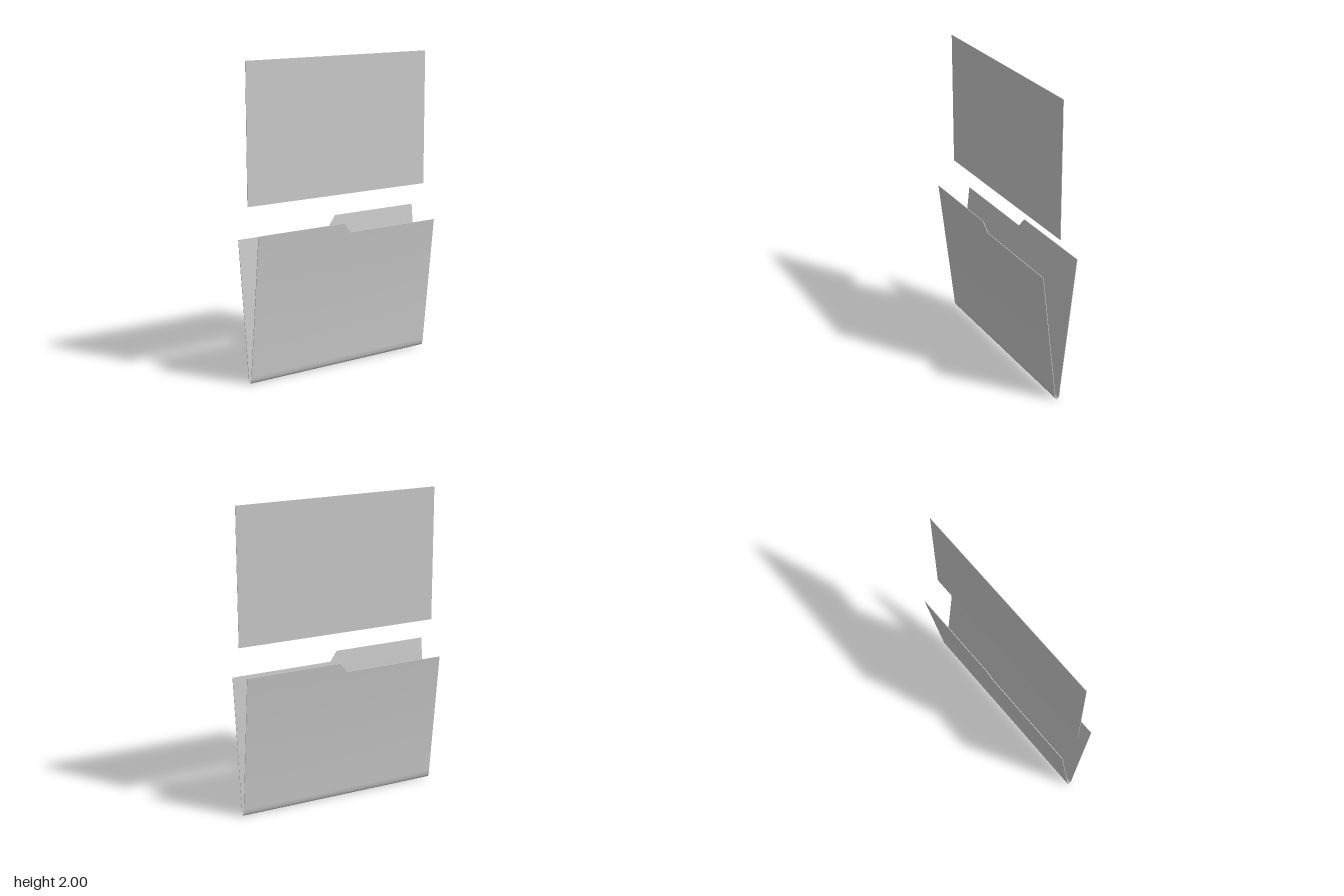
import * as THREE from 'three';
import { toCreasedNormals } from 'three/addons/utils/BufferGeometryUtils.js';

const HALF = 0.685;   // half the length along z
const T = 0.004;      // card thickness
const FOLD_Y = 0.06;  // where the rounded fold meets the flat sides
const FOLD_X = 0.02;
const LOW = 0.895;    // top edge beside the tab
const HIGH = 0.96;    // top edge of the tab

// Outer x of a leaning side at height y
const sideX = (y) => FOLD_X + (y - FOLD_Y) * 0.115;

// One skin of the V profile, left to right, moved inward by d
function skin(d) {
  const points = [new THREE.Vector2(-sideX(LOW) + d, LOW)];
  const steps = 24;
  for (let i = 0; i <= steps; i++) {
    const a = -Math.PI / 2 + (Math.PI * i) / steps;
    points.push(new THREE.Vector2((FOLD_X - d) * Math.sin(a), FOLD_Y - (FOLD_Y - d) * Math.cos(a)));
  }
  points.push(new THREE.Vector2(sideX(LOW) - d, LOW));
  return points;
}

export function createModel() {
  const model = new THREE.Group();
  model.name = 'folderWithSheet';
  const material = new THREE.MeshStandardMaterial({ color: 0xcccccc, side: THREE.DoubleSide });
  const add = (name, geometry) => {
    const mesh = new THREE.Mesh(geometry, material);
    mesh.name = name;
    model.add(mesh);
    return mesh;
  };

  // Folded card: both sides and the rounded spine
  const profile = new THREE.Shape([...skin(0), ...skin(T).reverse()]);
  const body = new THREE.ExtrudeGeometry(profile, { depth: 2 * HALF, bevelEnabled: false });
  body.translate(0, 0, -HALF);
  add('folderBody', toCreasedNormals(body, 0.7));

  // Half-length tab, leaned to continue the side below it
  const outline = new THREE.Shape([
    new THREE.Vector2(0, LOW),
    new THREE.Vector2(HALF, LOW),
    new THREE.Vector2(HALF, HIGH),
    new THREE.Vector2(0.052, HIGH),
  ]);
  const tab = new THREE.ExtrudeGeometry(outline, { depth: T, bevelEnabled: false });
  tab.rotateY(-Math.PI / 2);
  const p = tab.attributes.position;
  for (let i = 0; i < p.count; i++) p.setX(i, p.getX(i) + sideX(p.getY(i)));
  tab.computeVertexNormals();
  add('leftTab', tab);
  add('rightTab', tab).rotation.y = Math.PI;

  // Sheet floating above the folder
  const sheet = add('paperSheet', new THREE.BoxGeometry(0.003, 0.88, 2 * HALF));
  sheet.position.y = 1.56;

  return model;
}
